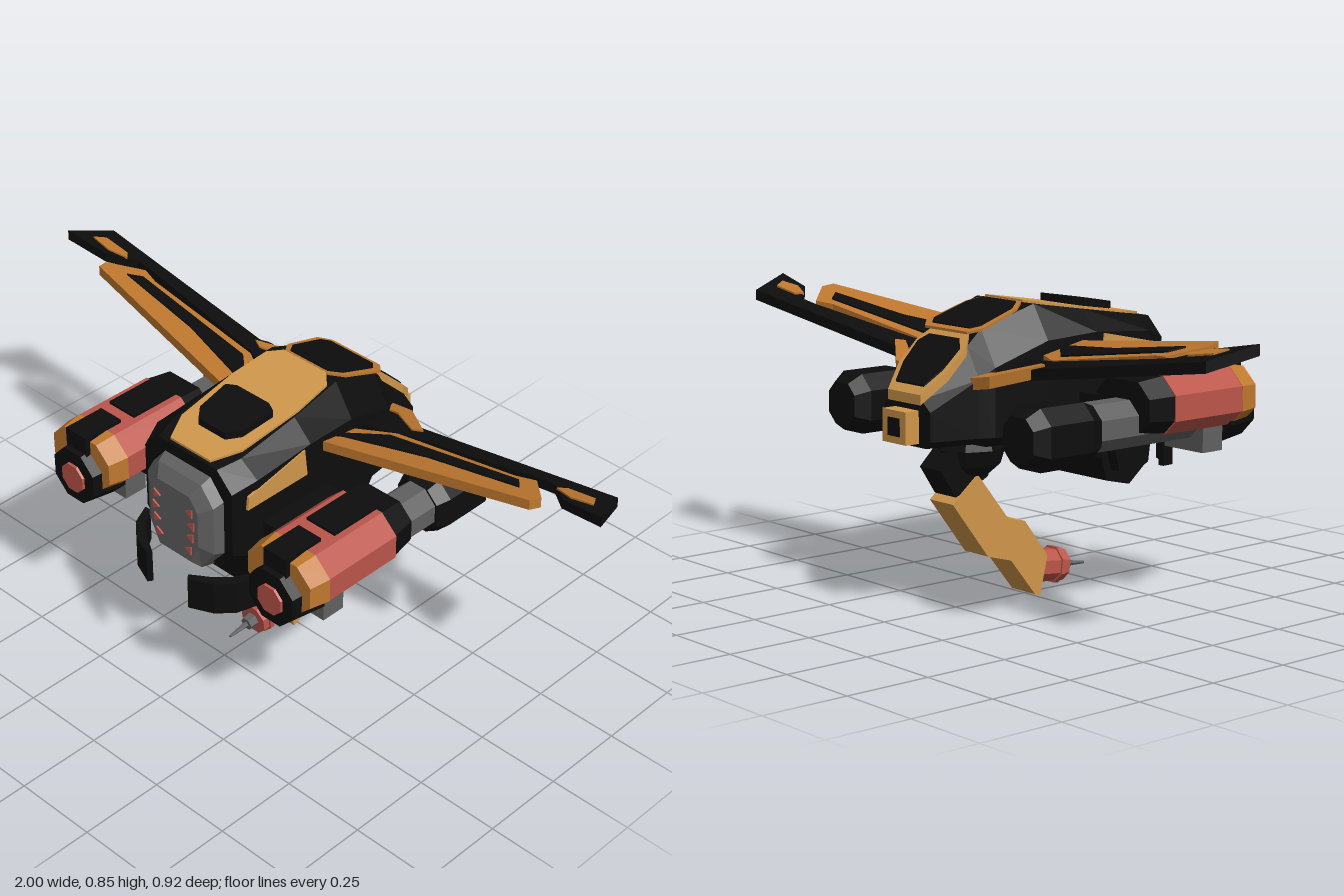
import * as THREE from 'three';

const mat = (name, color) => Object.assign(new THREE.MeshStandardMaterial({ color }), { name });

export function createModel() {
  const root = new THREE.Group();
  root.name = 'drone';
  const black = mat('black', 0x0d0d0d);
  const amber = mat('amber', 0xd0974b);
  const ochre = mat('ochre', 0xbf782f);
  const red = mat('red', 0xbb554a);
  const gray = mat('gray', 0x606060);

  // faceted mesh with a name
  const add = (name, geo, material, parent = root) => {
    const g = geo.index ? geo.toNonIndexed() : geo;
    g.computeVertexNormals();
    const m = new THREE.Mesh(g, material);
    m.name = name;
    parent.add(m);
    return m;
  };
  const box = (x0, x1, y0, y1, z0, z1) =>
    new THREE.BoxGeometry(x1 - x0, y1 - y0, z1 - z0)
      .translate((x0 + x1) / 2, (y0 + y1) / 2, (z0 + z1) / 2);
  const outline = pts => new THREE.Shape(pts.map(p => new THREE.Vector2(...p)));
  const extrude = (pts, depth) =>
    new THREE.ExtrudeGeometry(outline(pts), { depth, bevelEnabled: false });
  const both = pts => [...pts, ...pts.map(([x, z]) => [-x, z]).reverse()];

  // plate drawn in x,z whose bottom follows the height h(x, z)
  const plate = (pts, h, thick) => {
    const g = extrude(pts.map(([x, z]) => [x, -z]), thick).rotateX(-Math.PI / 2);
    const p = g.attributes.position;
    for (let i = 0; i < p.count; i++) p.setY(i, p.getY(i) + h(p.getX(i), p.getZ(i)));
    return g;
  };
  // profile drawn in z,y and extruded sideways
  const sideProfile = (pts, half, x = 0) =>
    extrude(pts, half * 2).rotateY(-Math.PI / 2).translate(x + half, 0, 0);
  // eight-sided hull; stations: z, topHalf, midHalf, bottomHalf, yTop, yHigh, yLow, yBottom
  const loft = stations => {
    const pos = [], idx = [], last = (stations.length - 1) * 8;
    for (const [z, t, w, b, yT, yH, yL, yB] of stations)
      for (const [x, y] of [[w, yL], [w, yH], [t, yT], [-t, yT], [-w, yH], [-w, yL], [-b, yB], [b, yB]])
        pos.push(x, y, z);
    for (let i = 0; i < last; i += 8)
      for (let j = 0; j < 8; j++) {
        const a = i + j, b = i + (j + 1) % 8;
        idx.push(a, a + 8, b, b, a + 8, b + 8);
      }
    for (let j = 1; j < 7; j++) idx.push(0, j, j + 1, last, last + j + 1, last + j);
    const g = new THREE.BufferGeometry();
    g.setAttribute('position', new THREE.Float32BufferAttribute(pos, 3));
    g.setIndex(idx);
    return g;
  };
  // octagonal tube along z from z0 (radius r0) to z1 (radius r1)
  const barrel = (r0, r1, z0, z1, x, y, sides = 8) =>
    new THREE.CylinderGeometry(r1, r0, z1 - z0, sides)
      .rotateY(Math.PI / sides).rotateX(Math.PI / 2).translate(x, y, (z0 + z1) / 2);

  // fuselage
  add('fuselage', loft([
    [0.37, 0.11, 0.165, 0.12, 0.775, 0.72, 0.52, 0.46],
    [0.30, 0.13, 0.19, 0.13, 0.786, 0.745, 0.50, 0.45],
    [0.10, 0.13, 0.19, 0.13, 0.818, 0.76, 0.50, 0.46],
    [-0.07, 0.12, 0.18, 0.13, 0.845, 0.75, 0.50, 0.47],
    [-0.24, 0.10, 0.16, 0.12, 0.79, 0.69, 0.50, 0.47],
    [-0.28, 0.09, 0.14, 0.11, 0.745, 0.66, 0.50, 0.48],
    [-0.415, 0.06, 0.10, 0.08, 0.61, 0.58, 0.50, 0.48],
  ]), black);

  // roof panel with vent
  const roof = (x, z) => 0.775 + (0.37 - z) * 0.159;
  add('roofPanel', plate(both([[0.075, 0.36], [0.115, 0.28], [0.125, 0.08], [0.115, -0.04], [0.08, -0.075]]),
    roof, 0.007), amber);
  add('roofVent', plate(both([[0.05, 0.28], [0.08, 0.245], [0.09, 0.14], [0.06, 0.125]]),
    (x, z) => roof(x, z) + 0.003, 0.025), black);

  // rear roof panel and sloping tail panel, amber rims with black inlays
  const rearRoof = (x, z) => 0.845 + (z + 0.07) * 0.324;
  add('rearRoofRim', plate(both([[0.08, -0.08], [0.11, -0.12], [0.12, -0.25], [0.09, -0.28]]), rearRoof, 0.007), ochre);
  add('rearRoofInlay', plate(both([[0.07, -0.09], [0.095, -0.125], [0.1, -0.24], [0.08, -0.262]]),
    (x, z) => rearRoof(x, z) + 0.005, 0.006), black);
  const tail = (x, z) => 0.735 + (z + 0.28) * 0.95;
  add('tailPanel', plate(both([[0.08, -0.265], [0.105, -0.295], [0.105, -0.36], [0.07, -0.425], [0.05, -0.425]]), tail, 0.028), amber);
  add('tailInlay', plate(both([[0.065, -0.285], [0.09, -0.305], [0.085, -0.36], [0.06, -0.405]]),
    (x, z) => tail(x, z) + 0.027, 0.007), black);
  add('tailNozzle', box(-0.05, 0.05, 0.49, 0.58, -0.46, -0.4), amber);
  add('tailNozzleHole', box(-0.025, 0.025, 0.51, 0.56, -0.463, -0.458), black);

  // glazed nose with red markings
  add('nose', loft([
    [0.425, 0.06, 0.09, 0.06, 0.69, 0.65, 0.54, 0.475],
    [0.40, 0.08, 0.125, 0.075, 0.725, 0.67, 0.52, 0.45],
    [0.35, 0.09, 0.14, 0.08, 0.75, 0.69, 0.51, 0.44],
  ]), gray);
  for (const s of [-1, 1])
    for (const [x, y] of [[0.058, 0.515], [0.066, 0.56], [0.07, 0.6], [0.064, 0.64]]) {
      const mark = add('noseMarking', new THREE.CylinderGeometry(0.016, 0.016, 0.006, 3)
        .rotateX(Math.PI / 2), red);
      mark.position.set(s * x, y, 0.427);
      mark.rotation.z = s * 0.5;
    }

  // belly block under the front
  add('bellyBlock', sideProfile([[0.3, 0.46], [0.29, 0.36], [0.235, 0.315], [0.15, 0.335], [0.13, 0.4], [0.15, 0.48], [0.27, 0.49]], 0.18), black);
  add('bellySides', sideProfile([[0.285, 0.45], [0.275, 0.38], [0.23, 0.355], [0.165, 0.365], [0.15, 0.42], [0.17, 0.46]], 0.215), black);

  // rear turret carrying the gun arm
  add('turret', new THREE.SphereGeometry(0.1, 8, 6).scale(1, 0.9, 1).translate(0, 0.45, -0.2), black);
  add('turretBracket', sideProfile([[-0.15, 0.43], [-0.17, 0.37], [-0.21, 0.35], [-0.285, 0.325], [-0.337, 0.405], [-0.28, 0.46]], 0.045), black);
  add('gunArm', sideProfile([[0.044, 0.115], [-0.04, 0.226], [-0.1, 0.24], [-0.21, 0.379], [-0.299, 0.307],
    [-0.175, 0.144], [-0.091, 0.12], [-0.002, 0.009], [0.017, 0.004]], 0.05), amber);

  // gun at the end of the arm, tipped slightly down
  const gun = new THREE.Group();
  gun.name = 'gun';
  gun.position.set(0, 0.08, 0.03);
  gun.rotation.x = 0.11;
  root.add(gun);
  add('gunBody', barrel(0.05, 0.048, -0.01, 0.105, 0, 0), red, gun);
  add('gunFlange', barrel(0.055, 0.055, 0.07, 0.085, 0, 0), red, gun);
  add('gunNeck', barrel(0.022, 0.02, 0.1, 0.132, 0, 0, 6), gray, gun);
  add('gunNeedle', barrel(0.009, 0.004, 0.13, 0.197, 0, 0, 6), gray, gun);

  const wing = (x, z) => 0.672 + 0.154 * Math.abs(x) + 0.21 * z;
  for (const s of [-1, 1]) {
    const flip = pts => pts.map(([x, z]) => [s * x, z]);
    const wingPlate = (name, pts, lift, thick, m) =>
      add(name, plate(flip(pts), (x, z) => wing(x, z) + lift, thick), m);

    // wing: black rear spar with tip, orange-rimmed leading panel
    wingPlate('wingSpar', [[0.1, -0.27], [0.3, -0.225], [0.95, -0.24], [1, -0.105], [0.86, -0.125],
      [0.79, -0.188], [0.72, -0.188], [0.3, -0.155], [0.1, -0.1]], 0, 0.03, black);
    wingPlate('wingPanel', [[0.12, 0.05], [0.18, 0.05], [0.81, -0.055], [0.82, -0.09], [0.74, -0.172],
      [0.68, -0.155], [0.28, -0.145], [0.12, -0.05]], 0, 0.03, ochre);
    wingPlate('wingInlay', [[0.17, 0.005], [0.19, -0.035], [0.28, -0.115], [0.71, -0.135], [0.74, -0.1],
      [0.45, -0.075], [0.2, -0.015]], 0.028, 0.007, black);
    wingPlate('wingTipPatch', [[0.81, -0.165], [0.83, -0.185], [0.92, -0.185], [0.94, -0.15], [0.87, -0.143]], 0.028, 0.007, ochre);
    wingPlate('wingFairing', [[0.08, -0.3], [0.2, -0.295], [0.32, -0.205], [0.29, -0.19], [0.18, -0.255], [0.08, -0.25]],
      0.003, 0.033, ochre);

    // orange panel on the flank
    add('flankPanel', sideProfile([[0.34, 0.67], [0.335, 0.71], [0.125, 0.755], [0.115, 0.67]], 0.004, s * 0.19), amber);

    // curved mandible plate
    add('mandible', plate(flip([[0.2, 0.33], [0.22, 0.33], [0.195, 0.39], [0.15, 0.43], [0.08, 0.458],
      [0.07, 0.445], [0.13, 0.41], [0.17, 0.375]]), (x, z) => 0.36 - (z - 0.33) * 0.1, 0.1), black);

    // engine pod
    const pod = new THREE.Group();
    pod.name = s > 0 ? 'leftEngine' : 'rightEngine';
    pod.position.x = s * 0.38;
    root.add(pod);
    const shell = (z, k = 1) => [z, 0.07 * k, 0.122 * k, 0.08 * k, 0.59 + 0.08 * k, 0.59 + 0.03 * k, 0.59 - 0.04 * k, 0.59 - 0.08 * k];
    add('engineShell', loft([shell(0.355), shell(0.1)]), red, pod);
    add('engineLip', loft([shell(0.415, 0.92), shell(0.353, 1.01)]), ochre, pod);
    add('engineCollar', loft([shell(0.102, 0.97), shell(0.02, 0.85)]), black, pod);
    add('engineCore', barrel(0.07, 0.07, -0.16, 0.3, 0, 0.542), gray, pod);
    add('engineSkid', box(-0.075, 0.075, 0.44, 0.52, 0.25, 0.325), gray, pod);
    add('intakeRing', barrel(0.1, 0.085, 0.34, 0.445, 0, 0.545), black, pod);
    add('intakeDisc', barrel(0.05, 0.045, 0.43, 0.452, 0, 0.54), red, pod);
    add('engineCoverRear', box(-0.05, 0.05, 0.65, 0.678, 0.09, 0.26), black, pod);
    add('engineCoverFront', box(-0.04, 0.04, 0.6, 0.68, 0.3, 0.43), black, pod);
    const rear = (z, r) => [z, r * 0.5, r, r * 0.5, 0.537 + r, 0.537 + r * 0.5, 0.537 - r * 0.5, 0.537 - r];
    add('rearThruster', loft([rear(-0.12, 0.07), rear(-0.16, 0.085), rear(-0.31, 0.085), rear(-0.35, 0.06)]), black, pod);

    // strut joining body and engine
    add('engineStrut', box(s > 0 ? 0.15 : -0.29, s > 0 ? 0.29 : -0.15, 0.52, 0.6, 0.04, 0.28), black);
  }
  return root;
}
